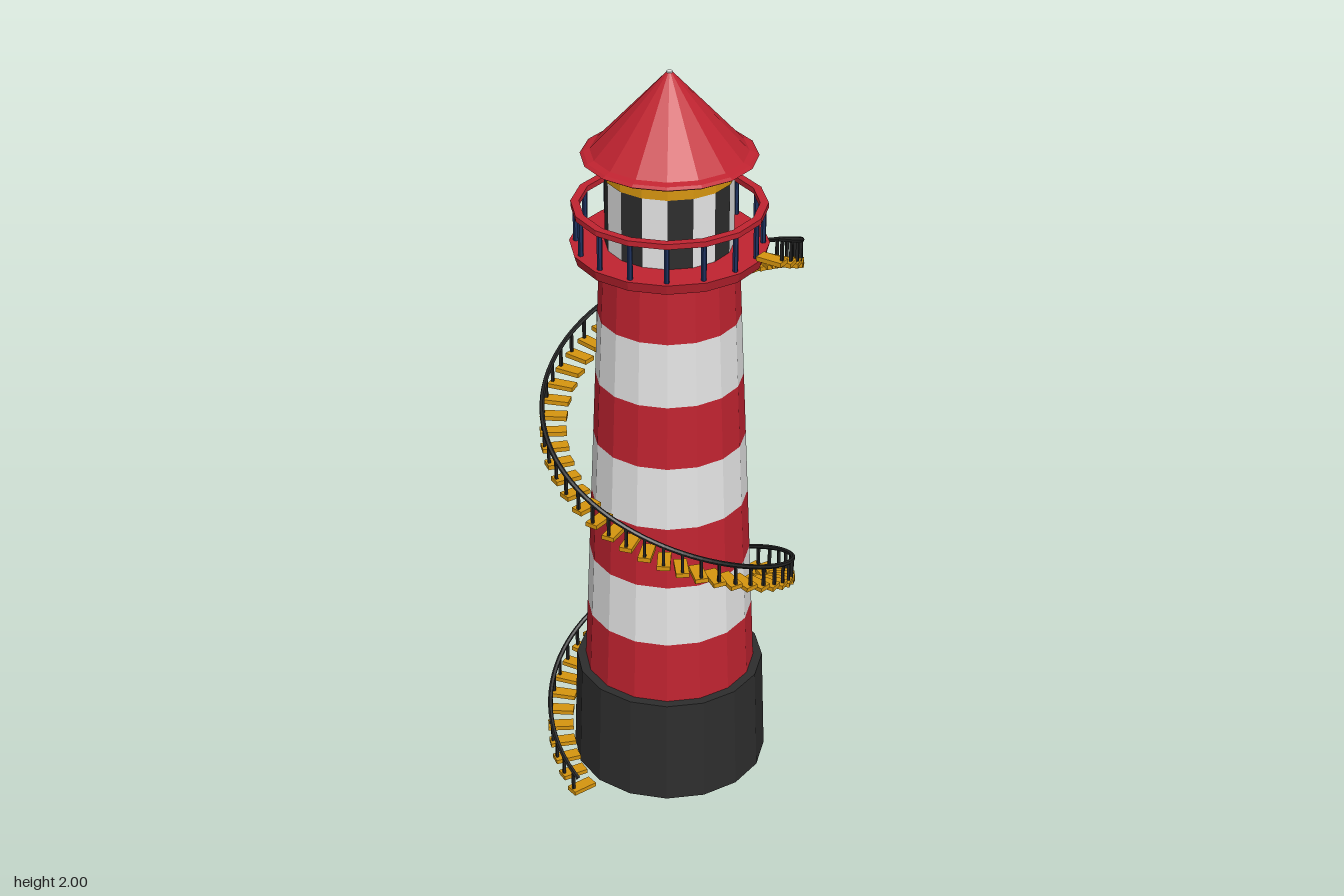
import * as THREE from 'three';

const SIDES = 16;
const mat = (name, color) =>
  new THREE.MeshStandardMaterial({ name, color, flatShading: true });

export function createModel() {
  const red = mat('red paint', 0xc02330);
  const white = mat('white paint', 0xe4e4e4);
  const black = mat('black paint', 0x2d2d2d);
  const iron = mat('dark iron', 0x222222);
  const ochre = mat('ochre', 0xd6950f);
  const navy = mat('navy', 0x1c2f5c);

  const model = new THREE.Group();
  model.name = 'lighthouse';

  const add = (name, geometry, material, parent = model) => {
    const mesh = new THREE.Mesh(geometry, material);
    mesh.name = name;
    parent.add(mesh);
    return mesh;
  };
  const group = (name) => {
    const g = new THREE.Group();
    g.name = name;
    model.add(g);
    return g;
  };
  // Faceted drum between two heights
  const drum = (name, rBottom, rTop, y0, y1, material, parent) => {
    const g = new THREE.CylinderGeometry(rTop, rBottom, y1 - y0, SIDES);
    g.translate(0, (y0 + y1) / 2, 0);
    return add(name, g, material, parent);
  };
  const lathe = (name, points, material) =>
    add(name, new THREE.LatheGeometry(points.map(([r, y]) => new THREE.Vector2(r, y)), SIDES), material);

  // Plinth with a pale underside
  drum('plinth', 0.26, 0.25, 0.025, 0.32, [black, black, white]);

  // Striped, tapering tower
  const tower = group('tower');
  const bands = 7, y0 = 0.32, y1 = 1.53;
  const radiusAt = (y) => THREE.MathUtils.mapLinear(y, y0, y1, 0.226, 0.174);
  for (let i = 0; i < bands; i++) {
    const a = y0 + ((y1 - y0) * i) / bands;
    const b = y0 + ((y1 - y0) * (i + 1)) / bands;
    drum('towerBand', radiusAt(a), radiusAt(b), a, b, i % 2 ? white : red, tower);
  }

  // Gallery floor, balusters and hand rail
  drum('galleryFloor', 0.24, 0.248, 1.525, 1.552, red);
  lathe('galleryRail', [[0.222, 1.645], [0.243, 1.645], [0.243, 1.659], [0.222, 1.659], [0.222, 1.645]], red);
  const balusters = group('galleryBalusters');
  for (let i = 0; i < SIDES; i++) {
    const a = (i / SIDES) * Math.PI * 2;
    add('baluster', new THREE.CylinderGeometry(0.007, 0.007, 0.1, 6), navy, balusters)
      .position.set(0.231 * Math.sin(a), 1.598, 0.231 * Math.cos(a));
  }

  // Lantern room: alternating dark and pale panels
  const lantern = group('lanternRoom');
  for (let i = 0; i < SIDES; i++) {
    const step = (Math.PI * 2) / SIDES;
    const panel = new THREE.CylinderGeometry(0.16, 0.16, 0.19, 1, 1, true, i * step, step);
    panel.translate(0, 1.645, 0);
    add('lanternPanel', panel, i % 2 ? white : black, lantern);
  }
  drum('lanternBand', 0.162, 0.162, 1.735, 1.762, ochre, lantern);
  drum('lanternTop', 0.16, 0.16, 1.762, 1.785, white, lantern);

  // Roof with a thin eave and a small pale cap
  lathe('roof', [[0, 1.781], [0.21, 1.781], [0.218, 1.786], [0.21, 1.792], [0.194, 1.797], [0.008, 1.997]], red);
  drum('roofCap', 0.008, 0.008, 1.994, 2, white);

  // Spiral stair: treads, posts and rail
  const stair = group('spiralStair');
  const count = 74;
  const turn = THREE.MathUtils.degToRad(8.38);
  const start = THREE.MathUtils.degToRad(5.9);
  const rise = 0.0216, railRadius = 0.326, railHeight = 0.062;
  const along = (k, r, dy) => {
    const t = start + k * turn;
    return new THREE.Vector3(-r * Math.cos(t), 0.006 + k * rise + dy, -r * Math.sin(t));
  };
  const treadGeometry = new THREE.BoxGeometry(0.069, 0.012, 0.034);
  const postGeometry = new THREE.BoxGeometry(0.007, railHeight, 0.007);
  for (let k = 0; k < count; k++) {
    const tread = add('stairTread', treadGeometry, ochre, stair);
    tread.position.copy(along(k, 0.2985, 0));
    const post = add('stairPost', postGeometry, iron, stair);
    post.position.copy(along(k, railRadius, railHeight / 2));
    tread.rotation.y = post.rotation.y = Math.PI - start - k * turn;
  }
  const railPath = new THREE.CatmullRomCurve3(
    Array.from({ length: count + 1 }, (_, k) => along(k - 0.5, railRadius, railHeight)));
  add('stairRail', new THREE.TubeGeometry(railPath, count * 2, 0.0065, 6), iron, stair);

  return model;
}
